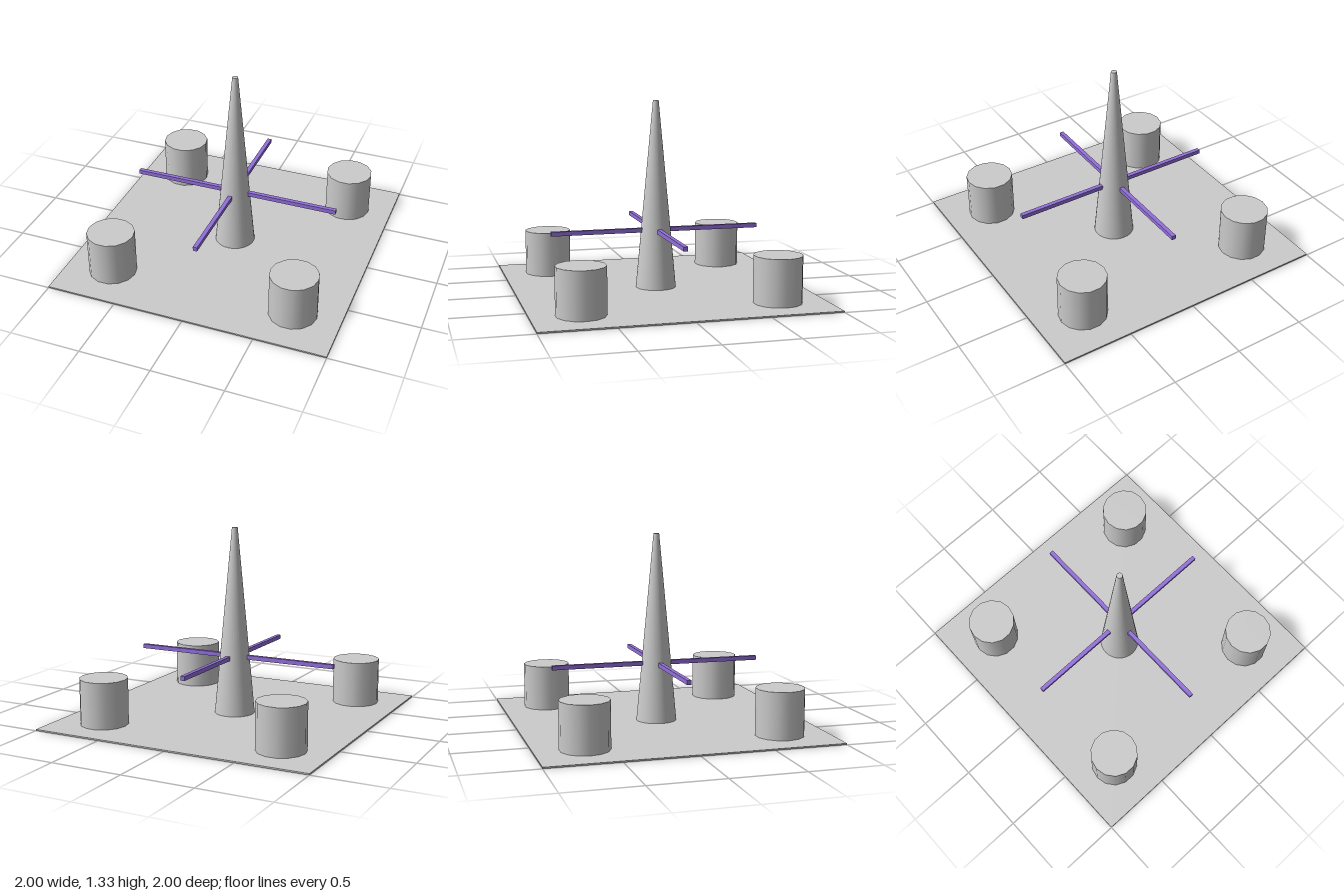
import * as THREE from 'three';

const grey = new THREE.MeshStandardMaterial({ color: 0xcccccc });
const purple = new THREE.MeshStandardMaterial({ color: 0x9370db });

function part(name, geometry, material, x, y, z) {
  const mesh = new THREE.Mesh(geometry, material);
  mesh.name = name;
  mesh.position.set(x, y, z);
  return mesh;
}

export function createModel() {
  const model = new THREE.Group();
  model.name = 'towerOnPlate';

  // Thin square ground plate
  const plateHeight = 0.01;
  model.add(part('basePlate', new THREE.BoxGeometry(2, plateHeight, 2), grey, 0, plateHeight / 2, 0));

  // Tall tapered tower, its foot sunk into the plate
  const foot = 0.005;
  const towerTop = 1.333;
  const towerHeight = towerTop - foot;
  model.add(part('tower', new THREE.CylinderGeometry(0.02, 0.143, towerHeight, 32), grey,
    0, foot + towerHeight / 2, 0));

  // Four corner drums, with facet corners pointing along x
  const drumHeight = 0.333 - foot;
  const drum = new THREE.CylinderGeometry(0.167, 0.167, drumHeight, 14, 1, false, Math.PI / 2);
  for (const x of [-0.667, 0.667]) {
    for (const z of [-0.667, 0.667]) {
      model.add(part('cornerDrum', drum, grey, x, foot + drumHeight / 2, z));
    }
  }

  // Four beams radiating from the tower
  const inner = 0.1;
  const outer = 0.75;
  const beam = new THREE.BoxGeometry(outer - inner, 0.03, 0.03);
  beam.translate((inner + outer) / 2, 0, 0);
  for (let i = 0; i < 4; i++) {
    const mesh = part('beam', beam, purple, 0, 0.42, 0);
    mesh.rotation.y = i * Math.PI / 2;
    model.add(mesh);
  }

  return model;
}
